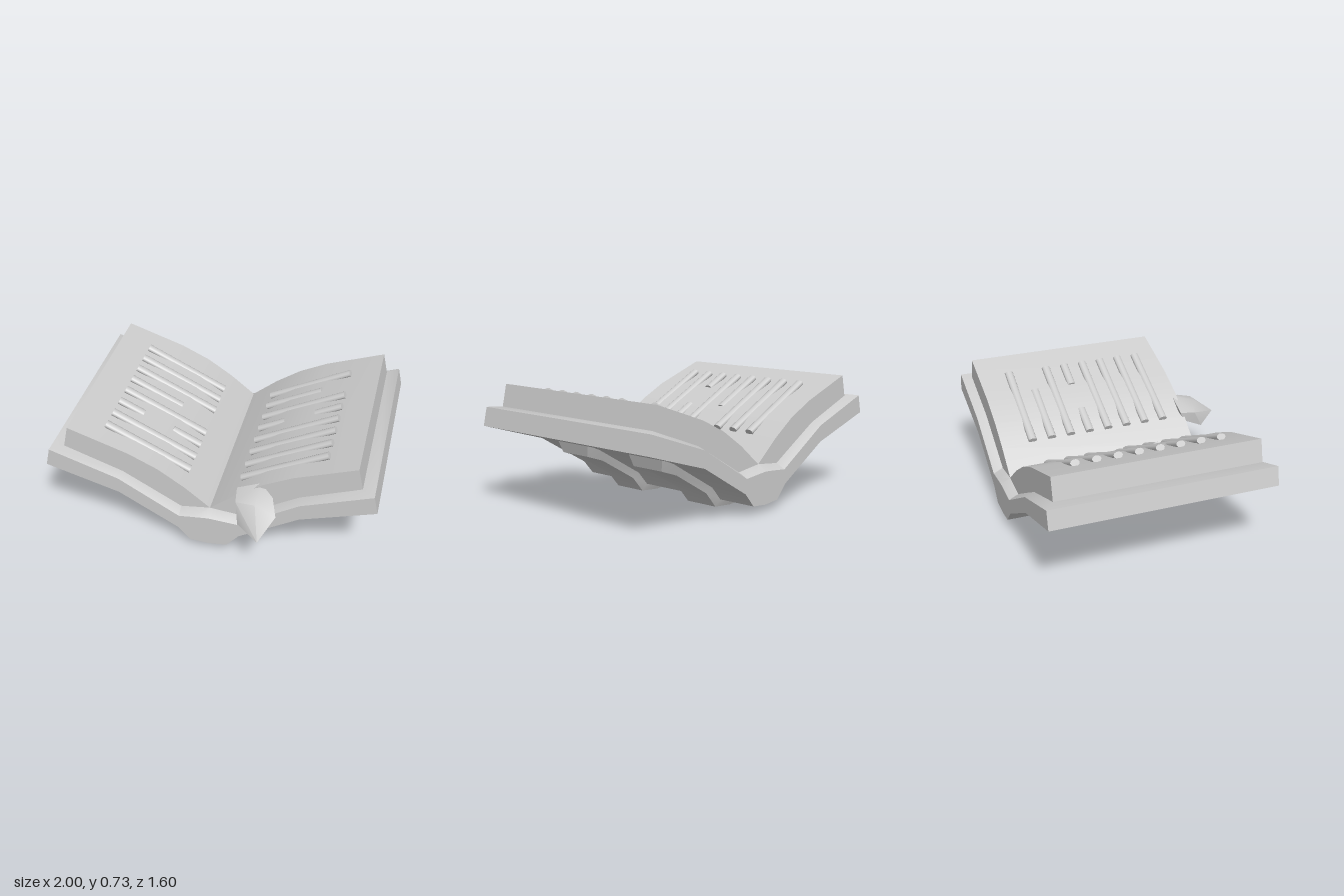
import * as THREE from 'three';
import { toCreasedNormals } from 'three/addons/utils/BufferGeometryUtils.js';
import { ConvexGeometry } from 'three/addons/geometries/ConvexGeometry.js';

const grey = new THREE.MeshStandardMaterial({ color: 0xcccccc });
grey.name = 'plain grey';

// Skins a row of rings running from -x to +x and caps both ends.
// Each ring starts at the bottom front and goes over the top to the bottom back.
function loft(rings, crease) {
  const pos = [];
  const quad = (a, b, c, d) => [a, b, c, a, c, d].forEach((p) => pos.push(...p));
  const n = rings[0].length;
  for (let i = 0; i < rings.length - 1; i++) {
    for (let j = 0; j < n; j++) {
      const k = (j + 1) % n;
      quad(rings[i][j], rings[i + 1][j], rings[i + 1][k], rings[i][k]);
    }
  }
  const first = rings[0], last = rings[rings.length - 1];
  for (let j = 0; j < n / 2 - 1; j++) {
    quad(last[j], last[n - 1 - j], last[n - 2 - j], last[j + 1]);
    quad(first[j], first[j + 1], first[n - 2 - j], first[n - 1 - j]);
  }
  const g = new THREE.BufferGeometry();
  g.setAttribute('position', new THREE.Float32BufferAttribute(pos, 3));
  return toCreasedNormals(g, crease);
}

// Half profiles run from the spine outward; each layer is { profile, front, back }.
function mirroredLoft(layers, crease = 0.55) {
  const count = layers[0].profile.length;
  const ring = (i, side) => {
    const at = (l, z) => [side * l.profile[i][0], l.profile[i][1], z];
    return [
      ...layers.map((l) => at(l, l.front)),
      ...layers.map((l) => at(l, l.back)).reverse(),
    ];
  };
  const rings = [];
  for (let i = count - 1; i > 0; i--) rings.push(ring(i, -1));
  for (let i = 0; i < count; i++) rings.push(ring(i, 1));
  return loft(rings, crease);
}

export function createModel() {
  const book = new THREE.Group();
  book.name = 'openBook';
  const add = (name, geometry, parent = book) => {
    const mesh = new THREE.Mesh(geometry, grey);
    mesh.name = name;
    parent.add(mesh);
    return mesh;
  };

  // Cover: outer shell with a rim that slopes up to the pages
  const coverBottom = [[0, 0.05], [0.115, 0.06], [0.19, 0.145], [0.55, 0.352], [1, 0.487]];
  const coverTop = [[0, 0.25], [0.09, 0.243], [0.18, 0.235], [0.55, 0.455], [0.975, 0.6]];
  const coverInner = [[0, 0.285], [0.09, 0.275], [0.18, 0.265], [0.54, 0.47], [0.9, 0.6]];
  add('cover', mirroredLoft([
    { profile: coverBottom, front: 0.565, back: -0.805 },
    { profile: coverTop, front: 0.565, back: -0.805 },
    { profile: coverInner, front: 0.505, back: -0.745 },
  ]));

  // Page block: two curved halves meeting in the gutter
  const pageBase = [[0, 0.28], [0.18, 0.265], [0.36, 0.368], [0.54, 0.47], [0.9, 0.6]];
  const pageTop = [[0, 0.285], [0.16, 0.415], [0.32, 0.522], [0.5, 0.608], [0.87, 0.735]];
  add('pages', mirroredLoft([
    { profile: pageBase, front: 0.505, back: -0.745 },
    { profile: pageTop, front: 0.505, back: -0.745 },
  ]));

  // Two raised straps around the spine, bevelled at the sides
  const strapOuter = [[0, 0.005], [0.135, 0.015], [0.22, 0.112], [0.48, 0.262], [0.605, 0.305]];
  const strapBase = [[0, 0.055], [0.115, 0.065], [0.19, 0.15], [0.5, 0.327], [0.625, 0.38]];
  for (const [name, z] of [['frontStrap', 0.188], ['backStrap', -0.422]]) {
    add(name, mirroredLoft([
      { profile: strapOuter, front: z + 0.11, back: z - 0.11 },
      { profile: strapBase, front: z + 0.133, back: z - 0.133 },
    ]));
  }

  // Raised lines on the pages; some rows are shortened or broken
  const lines = new THREE.Group();
  lines.name = 'pageLines';
  book.add(lines);
  const full = [[0.162, 0.68]];
  const broken = {
    left3: [[0.35, 0.68]],
    left5: [[0.162, 0.34], [0.525, 0.68]],
    right1: [[0.162, 0.52]],
    right3: [[0.162, 0.33], [0.52, 0.68]],
  };
  const slope = 0.495;
  for (let row = 0; row < 8; row++) {
    for (const side of [-1, 1]) {
      const key = (side < 0 ? 'left' : 'right') + row;
      for (const [x0, x1] of broken[key] || full) {
        const length = (x1 - x0) * Math.hypot(1, slope);
        const g = new THREE.CylinderGeometry(1, 1, length, 10);
        g.scale(0.02, 1, 0.028);
        g.rotateZ(-side * (Math.PI / 2 - Math.atan(slope)));
        const x = (x0 + x1) / 2;
        g.translate(side * x, 0.43 + (x - 0.16) * slope, -0.545 + row * 0.1275);
        add('pageLine', g, lines);
      }
    }
  }

  // Bookmark tip hanging over the front edge
  const tip = [
    [0.16, 0.45, 0.475], [0.305, 0.51, 0.475], [0.165, 0.39, 0.5], [0.3, 0.42, 0.48],
    [0.175, 0.43, 0.585], [0.39, 0.475, 0.55], [0.3, 0.465, 0.63],
    [0.2, 0.315, 0.645], [0.43, 0.43, 0.665], [0.35, 0.335, 0.797],
  ].map((p) => new THREE.Vector3(...p));
  add('bookmark', toCreasedNormals(new ConvexGeometry(tip), 0.6));

  return book;
}
